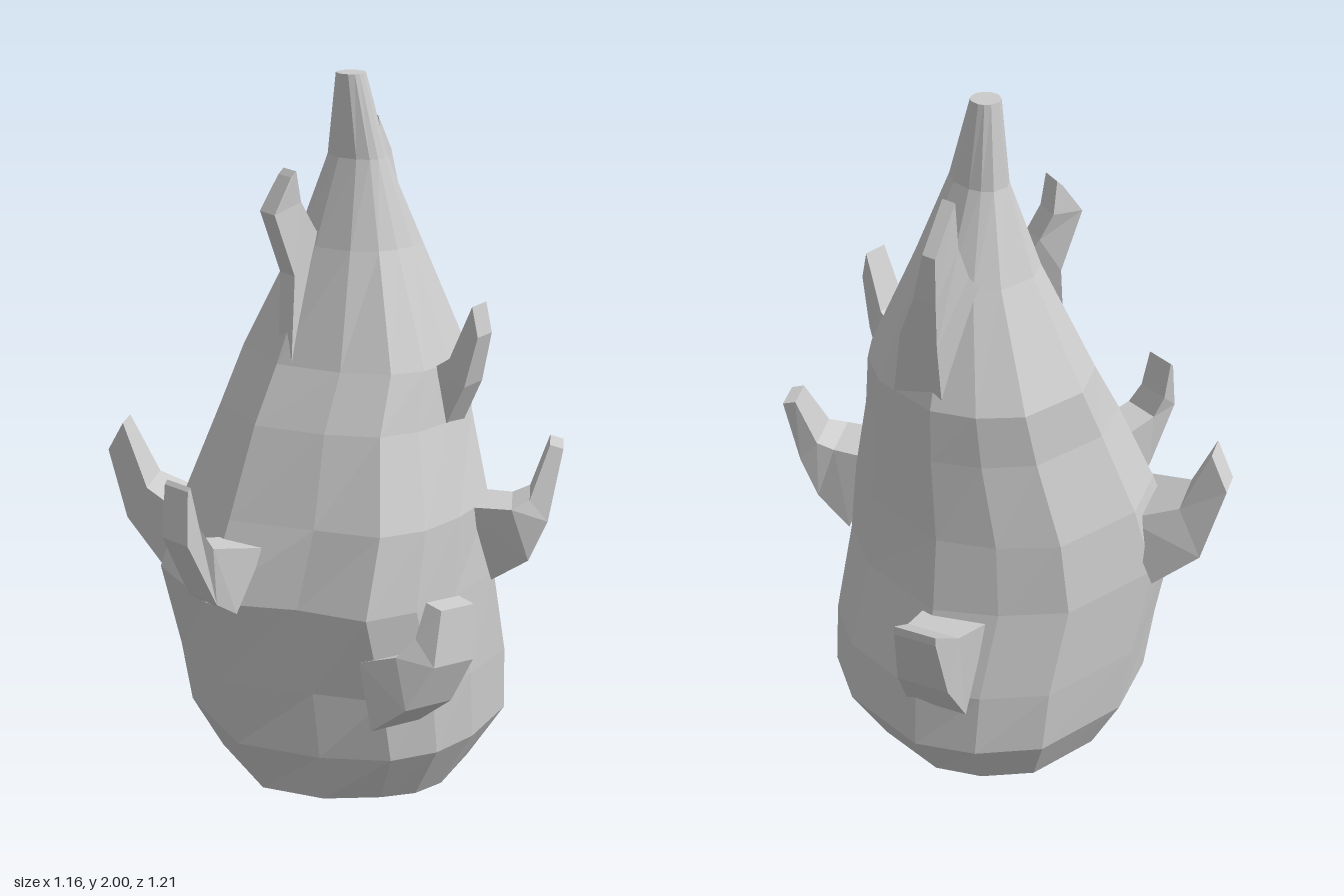
import * as THREE from 'three';

const material = new THREE.MeshStandardMaterial({ color: 0xcccccc, flatShading: true });

// Skin a stack of point rings and close both ends
function loft(name, rings) {
  const pos = [];
  const tri = (...pts) => pts.forEach(p => pos.push(p.x, p.y, p.z));
  const n = rings[0].length;
  const middle = ring => ring.reduce((s, p) => s.add(p), new THREE.Vector3()).divideScalar(n);
  const last = rings[rings.length - 1];
  const bottom = middle(rings[0]), top = middle(last);
  for (let i = 0; i < n; i++) {
    const j = (i + 1) % n;
    for (let k = 0; k < rings.length - 1; k++) {
      const a = rings[k], b = rings[k + 1];
      tri(a[i], b[i], a[j]);
      tri(a[j], b[i], b[j]);
    }
    tri(bottom, rings[0][i], rings[0][j]);
    tri(top, last[j], last[i]);
  }
  const geometry = new THREE.BufferGeometry();
  geometry.setAttribute('position', new THREE.Float32BufferAttribute(pos, 3));
  geometry.computeVertexNormals();
  const mesh = new THREE.Mesh(geometry, material);
  mesh.name = name;
  return mesh;
}

// Body: an irregular outline that blends to a circle towards the ends
function body() {
  const outline = [[0.42, -0.03], [0.42, 0.15], [0.36, 0.3], [0.17, 0.36], [-0.05, 0.49], [-0.33, 0.36],
    [-0.42, 0.15], [-0.4, -0.18], [-0.28, -0.34], [-0.14, -0.46], [0.14, -0.45], [0.31, -0.36], [0.4, -0.25]]
    .map(([x, z]) => [x / 0.42, (z - 0.015) / 0.475]);
  // y, min x, max x, min z, max z, roundness, lift of the squared corners
  const levels = [
    [0, -0.13, 0.15, -0.18, 0.12, 1, 0],
    [0.025, -0.31, 0.32, -0.35, 0.27, 1, 0.045],
    [0.2, -0.4, 0.42, -0.455, 0.37, 0.7, 0.02],
    [0.4, -0.42, 0.43, -0.46, 0.42, 0.3, 0],
    [0.65, -0.42, 0.42, -0.39, 0.48, 0, 0],
    [0.86, -0.4, 0.41, -0.37, 0.39, 0.3, 0],
    [1.1, -0.335, 0.335, -0.37, 0.29, 0.6, 0],
    [1.25, -0.315, 0.31, -0.365, 0.2, 0.7, 0],
    [1.55, -0.17, 0.18, -0.25, 0.07, 1, 0],
    [1.78, -0.08, 0.1, -0.14, -0.01, 1, 0],
    [2, -0.04, 0.04, -0.1, -0.02, 1, 0],
  ];
  return loft('body', levels.map(([y, x0, x1, z0, z1, round, lift]) => outline.map(([x, z]) => {
    const corner = lift * Math.abs(Math.sin(2 * Math.atan2(z, x)));
    const k = (1 + round * (1 / Math.hypot(x, z) - 1)) * (1 + 3 * corner);
    return new THREE.Vector3(
      (x0 + x1) / 2 + x * k * (x1 - x0) / 2, y + corner, (z0 + z1) / 2 + z * k * (z1 - z0) / 2);
  })));
}

// Leaf: four-sided sections, each given as [inner point, outer point, half width]
function leaf(name, degrees, sections) {
  const a = THREE.MathUtils.degToRad(degrees);
  const side = new THREE.Vector3(-Math.sin(a), 0, Math.cos(a));
  return loft(name, sections.map(([inner, outer, w]) => [[outer, -w], [outer, w], [inner, w], [inner, -w]]
    .map(([p, s]) => new THREE.Vector3(...p).addScaledVector(side, s))));
}

export function createModel() {
  const group = new THREE.Group();
  group.name = 'spikyFruit';
  group.add(
    body(),
    leaf('rightLeaf', 150, [
      [[-0.28, 0.8, 0.24], [-0.39, 0.64, 0.24], 0.12],
      [[-0.43, 0.86, 0.28], [-0.52, 0.75, 0.27], 0.075],
      [[-0.5, 1.03, 0.31], [-0.56, 0.94, 0.31], 0.04],
    ]),
    leaf('frontLeaf', 95, [
      [[0, 0.8, 0.36], [-0.01, 0.64, 0.46], 0.06],
      [[-0.02, 0.84, 0.53], [-0.02, 0.68, 0.52], 0.055],
      [[-0.04, 0.9, 0.555], [-0.04, 0.86, 0.6], 0.05],
      [[-0.05, 1.01, 0.57], [-0.05, 1, 0.58], 0.045],
    ]),
    leaf('leftLowerLeaf', 20, [
      [[0.35, 0.52, 0.22], [0.4, 0.34, 0.23], 0.075],
      [[0.46, 0.56, 0.21], [0.51, 0.43, 0.23], 0.07],
      [[0.49, 0.61, 0.18], [0.56, 0.55, 0.19], 0.06],
      [[0.49, 0.7, 0.15], [0.54, 0.69, 0.15], 0.05],
    ]),
    leaf('leftRearLeaf', -35, [
      [[0.34, 0.86, -0.17], [0.37, 0.64, -0.23], 0.08],
      [[0.44, 0.86, -0.22], [0.47, 0.71, -0.26], 0.075],
      [[0.47, 0.88, -0.26], [0.51, 0.82, -0.29], 0.065],
      [[0.49, 1.02, -0.32], [0.52, 1.01, -0.34], 0.045],
    ]),
    leaf('leftUpperLeaf', -5, [
      [[0.28, 1.24, -0.1], [0.32, 1.08, -0.11], 0.05],
      [[0.34, 1.28, -0.1], [0.39, 1.21, -0.1], 0.045],
      [[0.405, 1.43, -0.1], [0.425, 1.35, -0.1], 0.035],
    ]),
    leaf('backLeaf', -112, [
      [[-0.17, 0.62, -0.33], [-0.18, 0.36, -0.42], 0.09],
      [[-0.22, 0.66, -0.46], [-0.23, 0.51, -0.51], 0.075],
      [[-0.285, 0.755, -0.58], [-0.285, 0.73, -0.58], 0.06],
    ]),
    leaf('backUpperLeaf', -100, [
      [[-0.04, 1.5, -0.16], [-0.04, 1.25, -0.34], 0.08],
      [[-0.06, 1.6, -0.24], [-0.075, 1.45, -0.365], 0.06],
      [[-0.09, 1.7, -0.275], [-0.12, 1.59, -0.38], 0.035],
      [[-0.12, 1.84, -0.295], [-0.15, 1.73, -0.39], 0.02],
    ]),
    leaf('frontUpperLeaf', 105, [
      [[-0.02, 1.5, 0], [-0.02, 1.2, 0.19], 0.03],
      [[-0.06, 1.6, 0.05], [-0.06, 1.48, 0.13], 0.035],
      [[-0.08, 1.67, 0.08], [-0.085, 1.65, 0.18], 0.035],
      [[-0.075, 1.755, 0.1], [-0.08, 1.74, 0.115], 0.03],
    ]),
  );
  return group;
}
